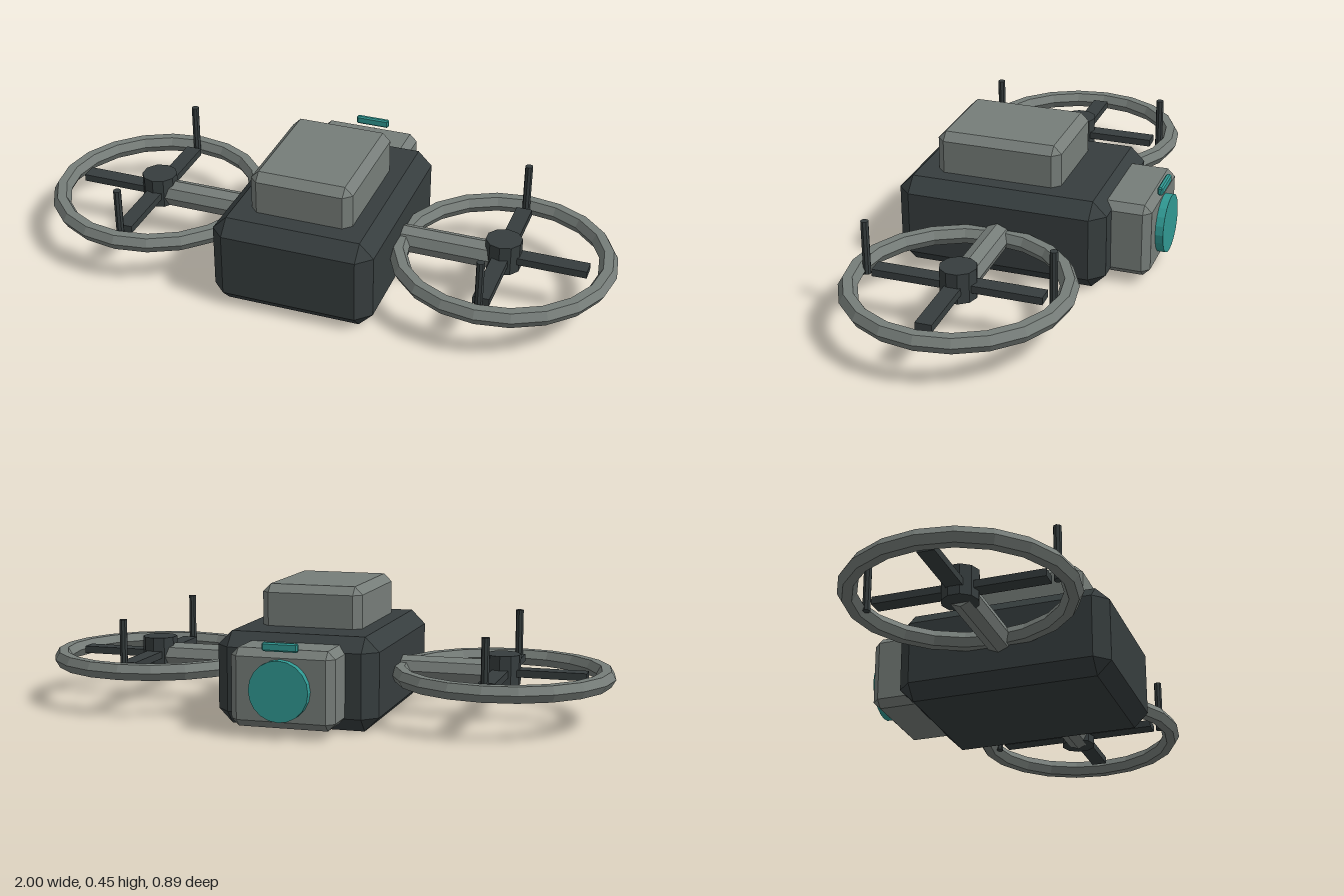
import * as THREE from 'three';
import { ConvexGeometry } from 'three/addons/geometries/ConvexGeometry.js';

const material = (name, color) => Object.assign(new THREE.MeshStandardMaterial({ color }), { name });

// Faceted normals for the low-poly look
function faceted(geometry) {
  const g = geometry.index ? geometry.toNonIndexed() : geometry;
  g.computeVertexNormals();
  return g;
}

// Box given by its extents, with every edge cut by c
function chamferBox([x0, x1], [y0, y1], [z0, z1], c) {
  const half = [(x1 - x0) / 2, (y1 - y0) / 2, (z1 - z0) / 2];
  const points = [];
  for (const sx of [-1, 1]) for (const sy of [-1, 1]) for (const sz of [-1, 1]) {
    for (let axis = 0; axis < 3; axis++) {
      const [x, y, z] = half.map((h, i) => (i === axis ? h : h - c));
      points.push(new THREE.Vector3(sx * x, sy * y, sz * z));
    }
  }
  return new ConvexGeometry(points).translate((x0 + x1) / 2, (y0 + y1) / 2, (z0 + z1) / 2);
}

export function createModel() {
  const dark = material('dark shell', 0x363d3e);
  const grey = material('grey panel', 0x767d79);
  const teal = material('teal lens', 0x309892);

  const model = new THREE.Group();
  model.name = 'drone';
  const add = (parent, name, geometry, mat) => {
    const mesh = new THREE.Mesh(faceted(geometry), mat);
    mesh.name = name;
    parent.add(mesh);
    return mesh;
  };

  // Central hull with battery pack on top and camera housing behind
  add(model, 'body', chamferBox([-0.277, 0.277], [0, 0.312], [-0.29, 0.435], 0.048), dark);
  add(model, 'topPack', chamferBox([-0.175, 0.175], [0.25, 0.452], [-0.109, 0.324], 0.027), grey);
  add(model, 'sensorHousing', chamferBox([-0.175, 0.175], [0.028, 0.286], [-0.42, -0.2], 0.025), grey);

  // Round lens and the small light bar above it
  add(model, 'lens', new THREE.CylinderGeometry(0.1, 0.1, 0.047, 20)
    .rotateX(Math.PI / 2).translate(0, 0.157, -0.4235), teal);
  add(model, 'lightBar', chamferBox([-0.06, 0.06], [0.282, 0.311], [-0.431, -0.412], 0.005), teal);

  // Ducted rotor on each side
  const y = 0.157;
  for (const side of [-1, 1]) {
    const rotor = new THREE.Group();
    rotor.name = side > 0 ? 'leftRotor' : 'rightRotor';
    rotor.position.set(side * 0.622, 0, 0.071);
    model.add(rotor);

    add(rotor, 'guardRing', new THREE.TorusGeometry(0.346, 0.031, 6, 20)
      .rotateX(Math.PI / 2).translate(0, y, 0), grey);
    add(rotor, 'arm', new THREE.CylinderGeometry(0.047, 0.047, 0.4, 8)
      .rotateZ(Math.PI / 2).translate(-side * 0.2, y, 0), grey);
    add(rotor, 'hub', new THREE.CylinderGeometry(0.061, 0.061, 0.103, 10).translate(0, 0.174, 0), dark);

    // Crossed blades
    add(rotor, 'bladeAcross', new THREE.BoxGeometry(0.568, 0.025, 0.055).translate(0, y + 0.008, 0), dark);
    add(rotor, 'bladeAlong', new THREE.BoxGeometry(0.055, 0.025, 0.568).translate(0, y + 0.008, 0), dark);

    // Upright posts just inside the ring
    for (const end of [-1, 1]) {
      add(rotor, end > 0 ? 'frontPost' : 'backPost',
        new THREE.CylinderGeometry(0.0135, 0.0135, 0.185, 8).translate(0, 0.2375, end * 0.312), dark);
    }
  }
  return model;
}
